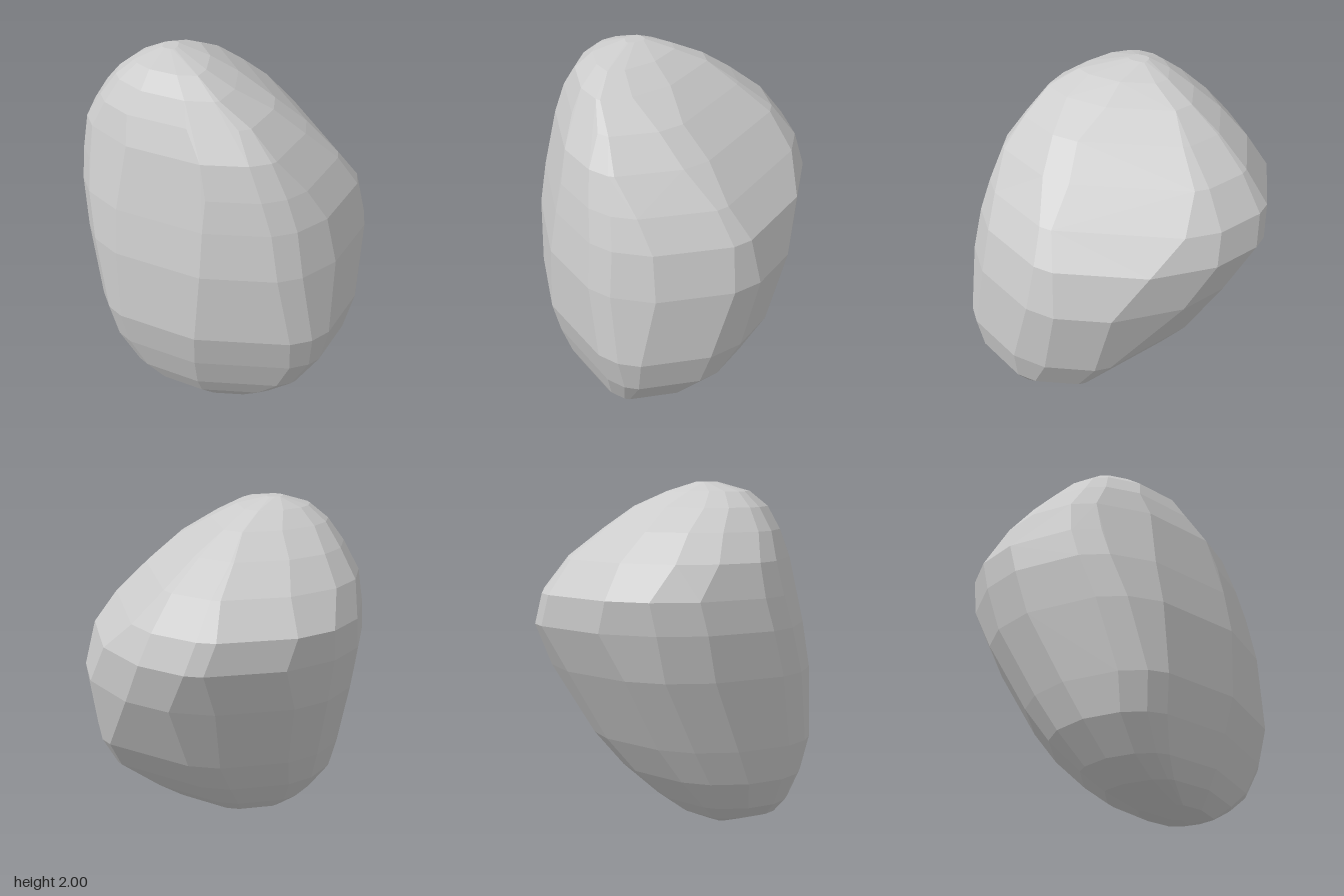
import * as THREE from 'three';
import { ConvexGeometry } from 'three/addons/geometries/ConvexGeometry.js';

// Each slice: height, extra flattening of the back, then how far the rock
// reaches in 8 directions, turning by 45 degrees from +x through +z, -x and -z.
const slices = [
  [0.00, 0.00, 0.33, 0.36, 0.28, 0.03, -0.20, -0.30, -0.20, 0.05],
  [0.04, 0.02, 0.46, 0.47, 0.40, 0.15, 0.00, -0.14, 0.00, 0.22],
  [0.12, 0.04, 0.58, 0.54, 0.53, 0.36, 0.17, 0.03, 0.13, 0.41],
  [0.22, 0.05, 0.70, 0.59, 0.61, 0.49, 0.30, 0.16, 0.28, 0.56],
  [0.40, 0.07, 0.80, 0.65, 0.69, 0.61, 0.45, 0.35, 0.51, 0.71],
  [0.60, 0.06, 0.84, 0.70, 0.74, 0.66, 0.56, 0.51, 0.64, 0.77],
  [1.00, 0.00, 0.79, 0.70, 0.735, 0.735, 0.75, 0.74, 0.735, 0.80],
  [1.25, 0.04, 0.735, 0.66, 0.70, 0.77, 0.82, 0.87, 0.75, 0.745],
  [1.42, 0.08, 0.67, 0.625, 0.66, 0.765, 0.845, 0.85, 0.69, 0.63],
  [1.60, 0.08, 0.58, 0.575, 0.62, 0.74, 0.73, 0.72, 0.55, 0.45],
  [1.75, 0.07, 0.46, 0.48, 0.575, 0.65, 0.60, 0.54, 0.36, 0.28],
  [1.87, 0.05, 0.31, 0.41, 0.50, 0.56, 0.46, 0.37, 0.20, 0.08],
  [1.95, 0.02, 0.14, 0.28, 0.41, 0.46, 0.35, 0.20, 0.02, -0.07],
  [2.00, 0.00, -0.14, 0.06, 0.25, 0.32, 0.25, 0.05, -0.14, -0.24],
];

// How deeply the corner after each direction is chipped off at full width
const chips = [0.03, 0.11, 0.035, 0.055, 0.09, 0.06, 0.065, 0.09];

// Cut a convex polygon by the half-plane at the given angle and reach
function clip(poly, angle, reach) {
  const normal = new THREE.Vector2(Math.cos(angle), Math.sin(angle));
  const out = [];
  poly.forEach((p, i) => {
    const q = poly[(i + 1) % poly.length];
    const a = p.dot(normal) - reach;
    const b = q.dot(normal) - reach;
    if (a <= 0) out.push(p);
    if (a * b < 0) out.push(p.clone().lerp(q, a / (a - b)));
  });
  return out;
}

// Outline of one slice: an uneven octagon with chipped corners
function outline([y, flattening, ...reach]) {
  const step = Math.PI / 4;
  const width = (reach[0] + reach[4]) / 1.6;
  // the underside is flattened at one back corner, the top at the other
  const flatCorner = y < 1 ? 5 : 6;
  let poly = [[-2, -2], [2, -2], [2, 2], [-2, 2]].map(([x, z]) => new THREE.Vector2(x, z));
  reach.forEach((r, i) => {
    const corner = (r + reach[(i + 1) % 8]) / (2 * Math.cos(step / 2));
    const chip = chips[i] * width + (i === flatCorner ? flattening : 0);
    poly = clip(poly, i * step, r);
    poly = clip(poly, (i + 0.5) * step, corner - chip);
  });
  return poly.map((p) => new THREE.Vector3(p.x, y, p.y));
}

export function createModel() {
  const group = new THREE.Group();
  group.name = 'rock';

  // Faceted boulder wrapped around the slices
  const boulder = new THREE.Mesh(
    new ConvexGeometry(slices.flatMap(outline)),
    new THREE.MeshStandardMaterial({ color: 0xcccccc, flatShading: true })
  );
  boulder.name = 'boulder';
  group.add(boulder);
  return group;
}
